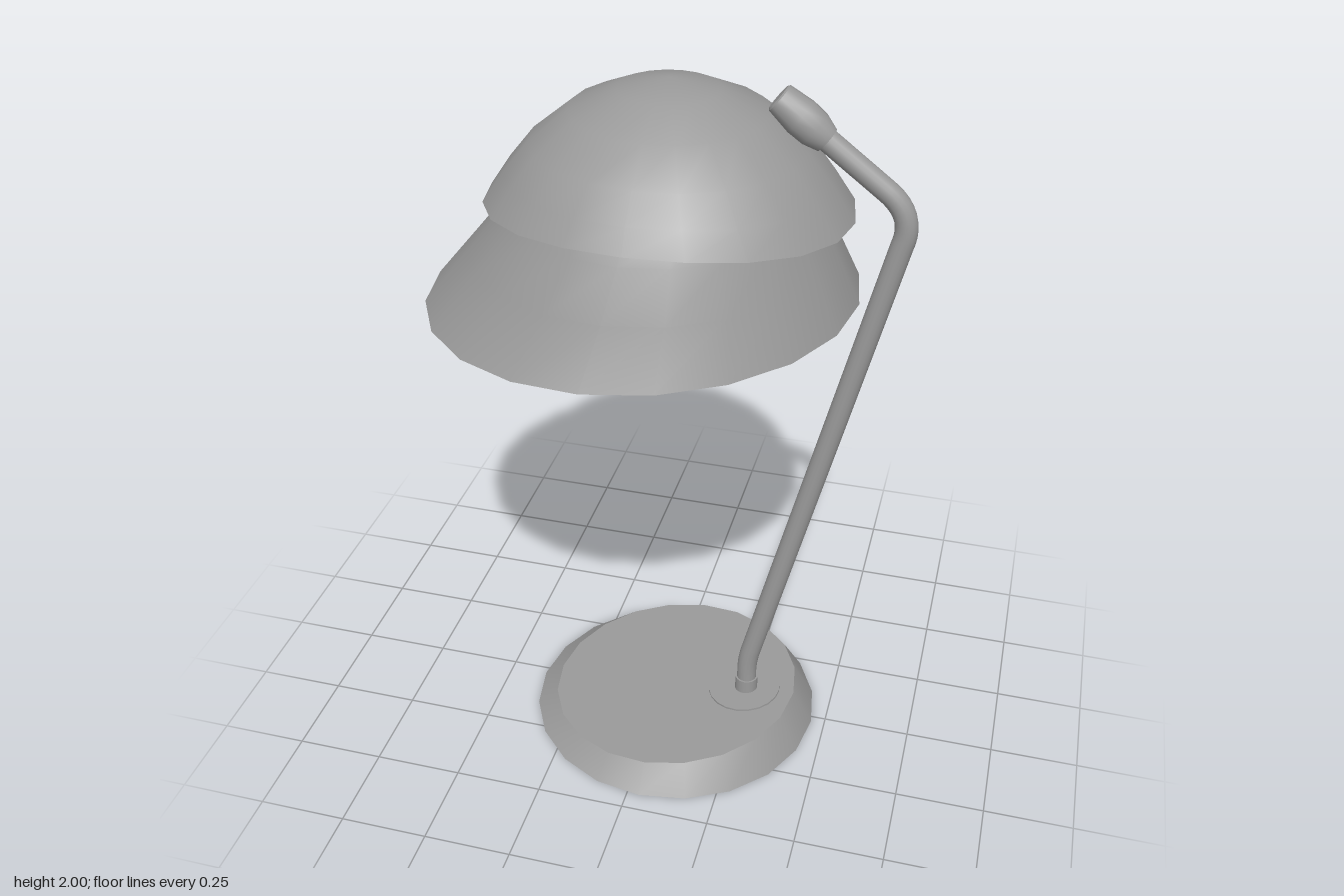
import * as THREE from 'three';
import { toCreasedNormals } from 'three/addons/utils/BufferGeometryUtils.js';

const SIDES = 20;
const material = new THREE.MeshStandardMaterial({ color: 0x9a9a9a, side: THREE.DoubleSide });

// Skin over elliptical rings; each ring may be tilted along x (slope) or drooped at its x ends (droop).
function loft(rings) {
  const positions = [], index = [];
  for (const { x, y, z, rx, rz, slope = 0, droop = 0 } of rings) {
    for (let j = 0; j < SIDES; j++) {
      const a = (j / SIDES) * Math.PI * 2, c = Math.cos(a);
      positions.push(x + rx * c, y + slope * rx * c - droop * c * c, z + rz * Math.sin(a));
    }
  }
  for (let i = 0; i < rings.length - 1; i++) {
    for (let j = 0; j < SIDES; j++) {
      const k = (j + 1) % SIDES, a = i * SIDES + j, b = i * SIDES + k;
      const c = a + SIDES, d = b + SIDES;
      if (rings[i].rx > 0) index.push(a, c, b);
      if (rings[i + 1].rx > 0) index.push(b, c, d);
    }
  }
  const geometry = new THREE.BufferGeometry();
  geometry.setAttribute('position', new THREE.Float32BufferAttribute(positions, 3));
  geometry.setIndex(index);
  return toCreasedNormals(geometry, 0.48);
}

// Gives an outer profile a wall by running its shrunken copy down the inside first.
function shell(outer, inset, drop, closed) {
  const inner = outer.map((r) => ({
    ...r, y: r.y - drop, rx: Math.max(0, r.rx - inset), rz: Math.max(0, r.rz - inset),
  })).reverse();
  inner[inner.length - 1].y = outer[0].y;
  const rings = [...inner, ...outer];
  if (closed) rings.push(inner[0]);
  return loft(rings);
}

export function createModel() {
  const lamp = new THREE.Group();
  lamp.name = 'deskLamp';
  const add = (name, geometry) => {
    const mesh = new THREE.Mesh(geometry, material);
    mesh.name = name;
    lamp.add(mesh);
    return mesh;
  };

  const z = 0.021;
  const slope = 0.08;

  // Wedge-shaped hollow foot
  add('base', shell([
    { x: 0.035, y: 0, z, rx: 0.425, rz: 0.425 },
    { x: 0.035, y: 0.073, z, rx: 0.366, rz: 0.366, slope },
    { x: 0.035, y: 0.073, z, rx: 0, rz: 0 },
  ], 0.006, 0.01, false));

  // Washer through the foot, and the collar around the stem
  const washer = add('washer', new THREE.CylinderGeometry(0.108, 0.108, 0.026, SIDES));
  washer.position.set(0.25, 0.083, z);
  washer.rotation.z = Math.atan(slope);
  add('collar', new THREE.CylinderGeometry(0.034, 0.034, 0.08, 16)).position.set(0.255, 0.1, z);

  // Stem: straight runs joined by rounded bends
  const p = (x, y) => new THREE.Vector3(x, y, z);
  const path = new THREE.CurvePath();
  path.add(new THREE.LineCurve3(p(0.255, 0.08), p(0.255, 0.165)));
  path.add(new THREE.QuadraticBezierCurve3(p(0.255, 0.165), p(0.255, 0.2), p(0.264, 0.24)));
  path.add(new THREE.LineCurve3(p(0.264, 0.24), p(0.602, 1.62)));
  path.add(new THREE.QuadraticBezierCurve3(p(0.602, 1.62), p(0.628, 1.7), p(0.562, 1.755)));
  path.add(new THREE.LineCurve3(p(0.562, 1.755), p(0.37, 1.9)));
  add('stem', new THREE.TubeGeometry(path, 120, 0.029, 16));

  // Tapered knob closing the end of the stem
  const knobProfile = [[0, 0], [0.034, 0], [0.046, 0.04], [0.048, 0.085], [0.039, 0.152], [0.034, 0.156], [0, 0.156]]
    .map(([r, y]) => new THREE.Vector2(r, y));
  const knob = add('knob', toCreasedNormals(new THREE.LatheGeometry(knobProfile, 16), 0.5));
  knob.position.set(0.402, 1.875, z);
  knob.rotation.z = Math.atan2(0.785, 0.62);

  // Upper dome, its rim drooping toward both x ends
  const dome = (r, rz, y, droop = 0) => ({ x: 0.01, y, z: 0.018, rx: r, rz, droop });
  add('upperShade', shell([
    dome(0.474, 0.423, 1.715, 0.048),
    dome(0.418, 0.39, 1.775, 0.025),
    dome(0.352, 0.335, 1.84, 0.008),
    dome(0.25, 0.24, 1.915),
    dome(0.13, 0.125, 1.968),
    dome(0, 0, 1.995),
  ], 0.01, 0.01, false));

  // Lower flared shade, open at top and bottom, with a tilted lower rim
  add('lowerShade', shell([
    { x: -0.067, y: 1.406, z: 0, rx: 0.573, rz: 0.558, slope: 0.05 },
    { x: -0.03, y: 1.555, z: 0.01, rx: 0.475, rz: 0.475, slope: 0.03 },
    { x: 0.0, y: 1.69, z: 0.018, rx: 0.387, rz: 0.426, slope: 0.01 },
    { x: 0.005, y: 1.745, z: 0.018, rx: 0.355, rz: 0.388 },
  ], 0.02, 0, true));

  // Pull cord and its faceted bead
  add('pullCord', new THREE.CylinderGeometry(0.005, 0.005, 0.54, 6)).position.set(0.275, 1.6, 0.023);
  const beadProfile = [[0, -0.022], [0.012, -0.018], [0.026, 0], [0.012, 0.016], [0, 0.02]]
    .map(([r, y]) => new THREE.Vector2(r, y));
  const bead = add('pullBead', toCreasedNormals(new THREE.LatheGeometry(beadProfile, 8), 0.5));
  bead.position.set(0.275, 1.327, 0.023);

  return lamp;
}
